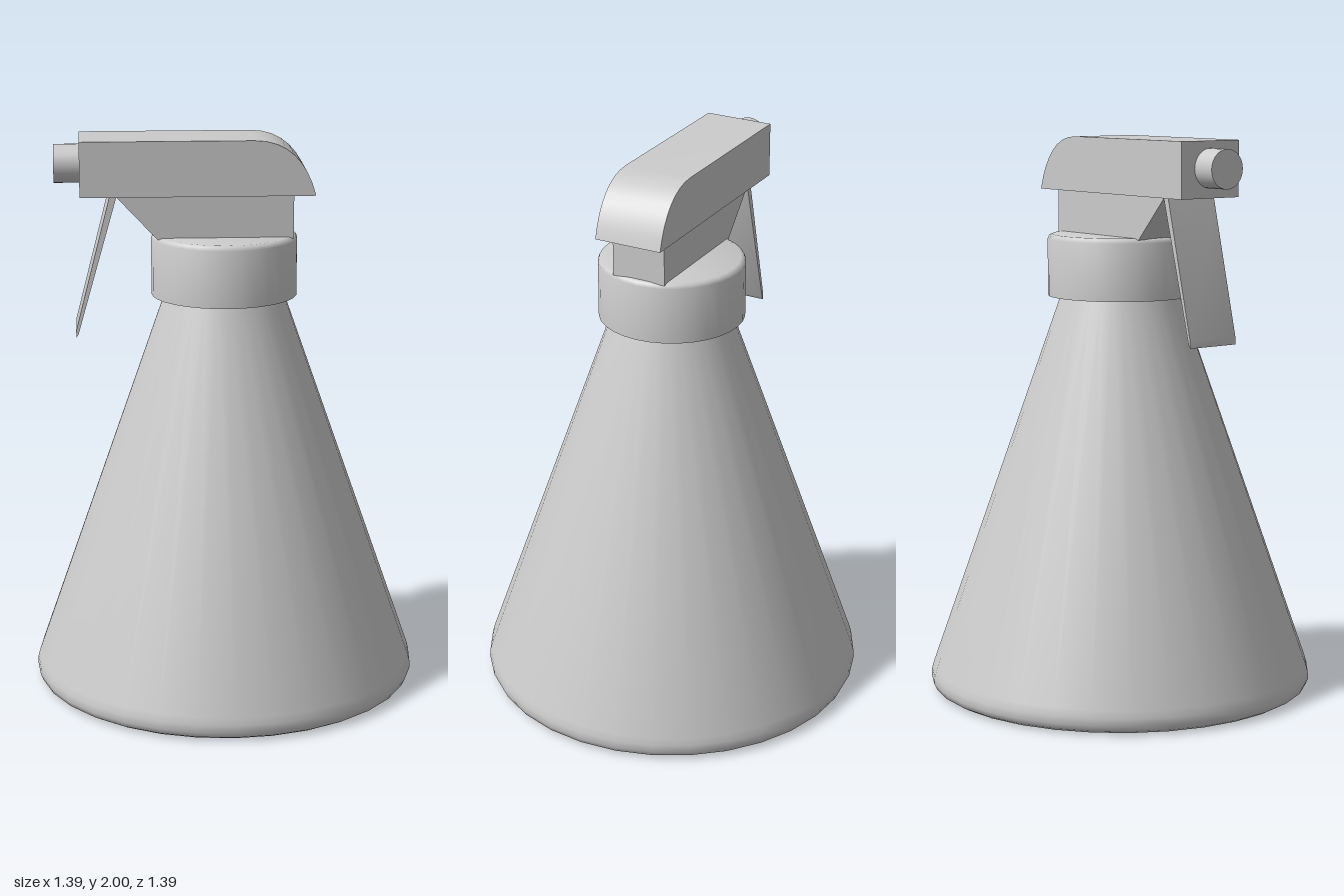
import * as THREE from 'three';
import { toCreasedNormals } from 'three/addons/utils/BufferGeometryUtils.js';

const material = new THREE.MeshStandardMaterial({ color: 0xcccccc });
const vec = ([x, y]) => new THREE.Vector2(x, y);

export function createModel() {
  const model = new THREE.Group();

  const add = (name, geometry) => {
    const mesh = new THREE.Mesh(geometry, material);
    mesh.name = name;
    model.add(mesh);
    return mesh;
  };

  const lathe = (points, crease) =>
    toCreasedNormals(new THREE.LatheGeometry(points.map(vec), 32), crease);

  // Side profile in x/y, extruded to a width centred on z = 0
  const slab = (shape, width) => {
    const geometry = new THREE.ExtrudeGeometry(shape, {
      depth: width, bevelEnabled: false, curveSegments: 8,
    });
    geometry.translate(0, 0, -width / 2);
    return toCreasedNormals(geometry, 0.5);
  };

  // Conical bottle with a rounded foot
  add('bottle', lathe([
    [0, 0], [0.64, 0], [0.667, 0.004], [0.686, 0.015], [0.695, 0.035],
    [0.693, 0.06], [0.686, 0.085], [0.212, 1.44], [0.205, 1.46], [0, 1.46],
  ], 0.9));

  // Screw collar with a softened top edge
  add('collar', lathe([
    [0, 1.435], [0.26, 1.435], [0.26, 1.638], [0.255, 1.65], [0.243, 1.655], [0, 1.655],
  ], 0.9));

  // Neck block under the spray head
  add('neck', slab(new THREE.Shape([
    [-0.24, 1.65], [0.24, 1.65], [0.24, 1.81], [-0.39, 1.81],
  ].map(vec)), 0.2));

  // Spray head with a rounded back
  const head = new THREE.Shape();
  head.moveTo(-0.51, 1.805);
  head.lineTo(0.315, 1.805);
  head.bezierCurveTo(0.285, 1.925, 0.215, 2, 0.1, 2);
  head.lineTo(-0.51, 2);
  head.closePath();
  add('sprayHead', slab(head, 0.25));

  // Nozzle
  const nozzle = add('nozzle', new THREE.CylinderGeometry(0.068, 0.068, 0.1, 32));
  nozzle.rotation.z = Math.PI / 2;
  nozzle.position.set(-0.55, 1.907, 0);

  // Slanted trigger plate
  add('trigger', slab(new THREE.Shape([
    [-0.53, 1.3], [-0.522, 1.312], [-0.38, 1.81], [-0.405, 1.81], [-0.53, 1.325],
  ].map(vec)), 0.2));

  return model;
}
